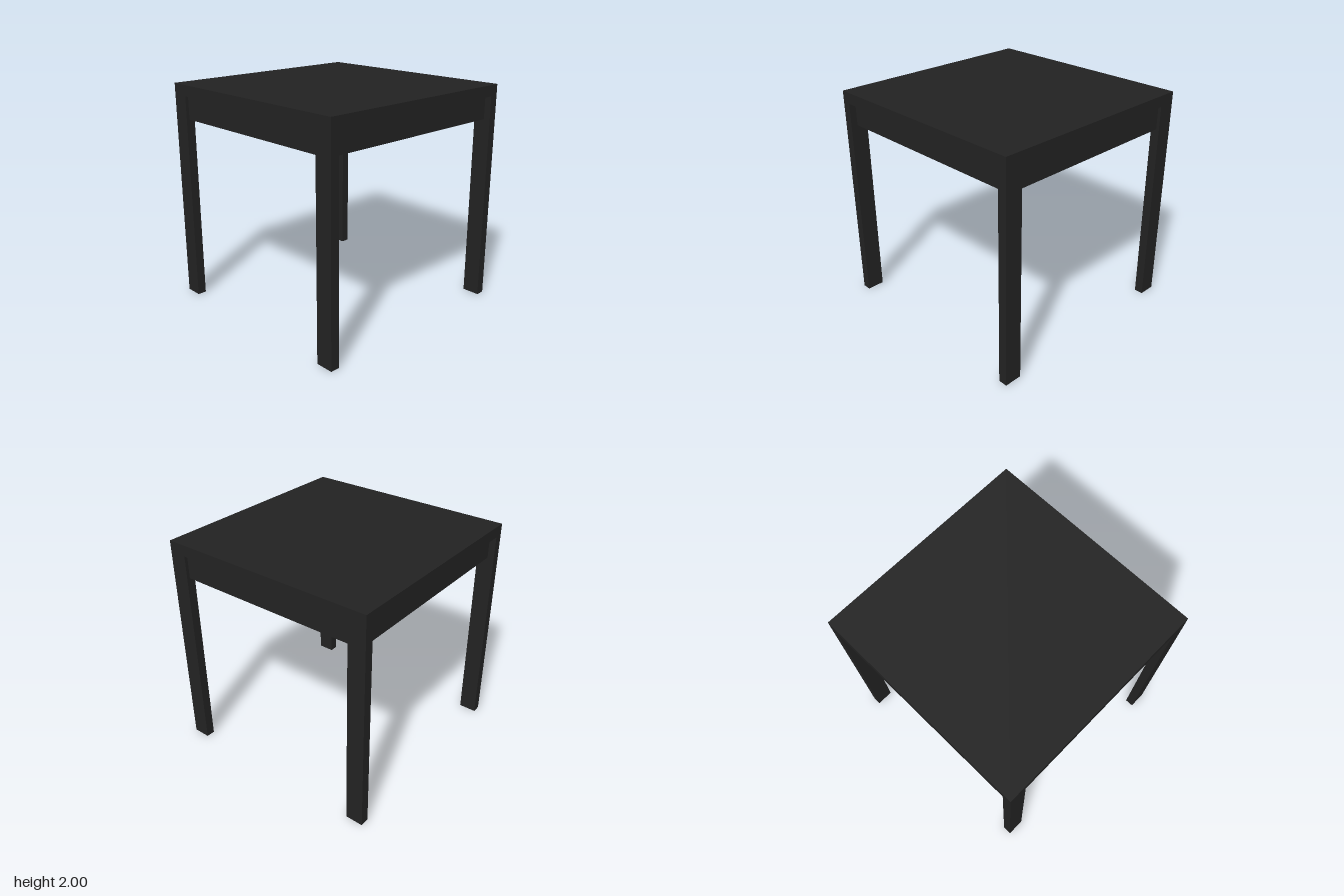
import * as THREE from 'three';

export function createModel() {
  const group = new THREE.Group();
  const black = new THREE.MeshStandardMaterial({ color: 0x222222 });
  black.name = 'matte black';

  // Box placed by the height of its underside
  function box(name, w, h, d, x, y, z) {
    const mesh = new THREE.Mesh(new THREE.BoxGeometry(w, h, d), black);
    mesh.name = name;
    mesh.position.set(x, y + h / 2, z);
    group.add(mesh);
  }

  const legW = 0.16, legD = 0.08, topY = 1.9, apronY = 1.69;

  // Square slab on top
  box('tableTop', 2, 2 - topY, 2, 0, topY, 0);

  // Closed frame under the slab, set back from the edges
  box('apron', 1.88, topY - apronY, 1.945, 0, apronY, 0);

  // Four flat legs flush with the corners
  for (const [side, sx] of [['Left', 1], ['Right', -1]]) {
    for (const [end, sz] of [['front', 1], ['back', -1]]) {
      box(`${end}${side}Leg`, legW, topY, legD, sx * (1 - legW / 2), 0, sz * (1 - legD / 2));
    }
  }

  return group;
}
